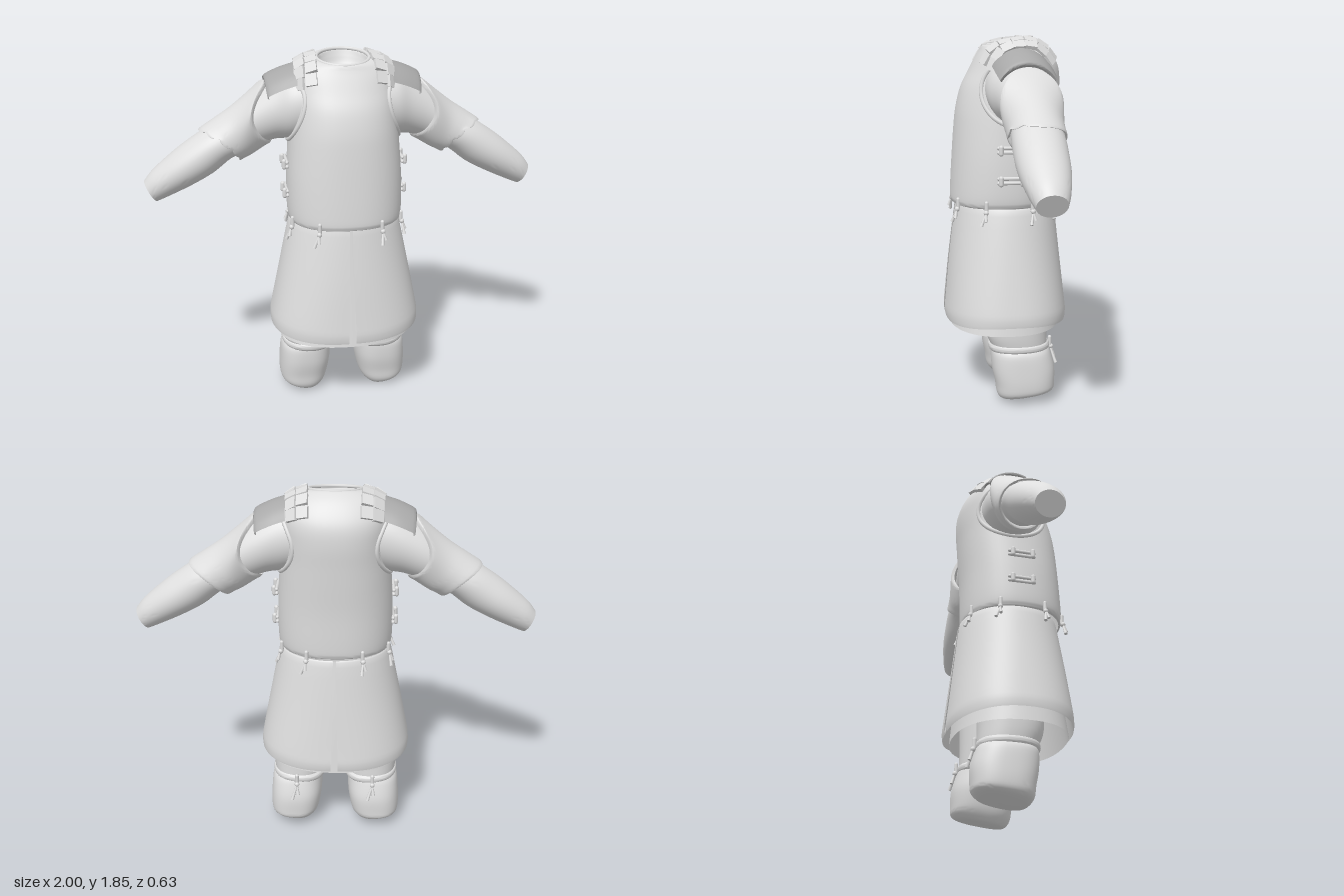
import * as THREE from 'three';
import { toCreasedNormals } from 'three/addons/utils/BufferGeometryUtils.js';

const V = (x, y, z) => new THREE.Vector3(x, y, z);

// Ring = [x1, y1, x2, y2, zCentre, zRadius, squareness, tilt, bow, scallop]:
// a superellipse through two opposite points in the xy plane.
function ringPoint(r, t, side) {
  const [x1, y1, x2, y2, zc, rz, n = 2, tilt = 0, bow = 0, scallop = 0] = r;
  const ux = (x1 - x2) / 2, uy = (y1 - y2) / 2, len = Math.hypot(ux, uy) || 1;
  const pw = v => Math.sign(v) * Math.pow(Math.abs(v), 2 / n);
  const c = pw(Math.cos(t)), s = pw(Math.sin(t));
  // bow pushes front and back along the limb; scallops cut the front edge only
  const wave = scallop * Math.max(0, s) * (Math.abs(Math.sin(t * 5)) - 2);
  const out = side * (bow * s * s + wave);
  return [(x1 + x2) / 2 + ux * c + uy / len * out,
    (y1 + y2) / 2 + uy * c - ux / len * out + tilt * s, zc + rz * s];
}

// Skin a list of rings, smoothing between them with a spline
function loft(rings, { t0 = 0, t1 = Math.PI * 2, segs = 48, sub = 4, cap = false, crease = 0.9 } = {}) {
  const full = rings.map(r => Array.from({ length: 10 }, (_, k) => r[k] ?? (k === 6 ? 2 : 0)));
  const fine = [];
  full.forEach((b, i) => {
    if (i === full.length - 1) return fine.push(b);
    const a = full[i - 1] ?? b, c = full[i + 1], d = full[i + 2] ?? c;
    for (let k = 0; k < sub; k++) {
      const f = k / sub;
      fine.push(b.map((v, j) => v + 0.5 * f * (c[j] - a[j] + f * (2 * a[j] - 5 * v + 4 * c[j] - d[j]
        + f * (3 * (v - c[j]) + d[j] - a[j])))));
    }
  });
  const [p, q] = full;
  const dx = (q[0] + q[2] - p[0] - p[2]), dy = (q[1] + q[3] - p[1] - p[3]);
  const side = (p[1] - p[3]) * dx - (p[0] - p[2]) * dy >= 0 ? 1 : -1;
  const pos = [], idx = [], w = segs + 1;
  for (const r of fine) for (let j = 0; j <= segs; j++) pos.push(...ringPoint(r, t0 + (t1 - t0) * j / segs, side));
  const tri = (a, b, c) => side > 0 ? idx.push(a, b, c) : idx.push(a, c, b);
  for (let i = 0; i < fine.length - 1; i++) for (let j = 0; j < segs; j++) {
    const a = i * w + j, d = a + w;
    tri(a, a + 1, d + 1);
    tri(a, d + 1, d);
  }
  if (cap) {
    const e = fine[fine.length - 1], base = (fine.length - 1) * w, c = pos.length / 3;
    pos.push((e[0] + e[2]) / 2, (e[1] + e[3]) / 2, e[4]);
    for (let j = 0; j < segs; j++) tri(base + j, base + j + 1, c);
  }
  const g = new THREE.BufferGeometry();
  g.setAttribute('position', new THREE.Float32BufferAttribute(pos, 3));
  g.setIndex(idx);
  return toCreasedNormals(g, crease);
}

// Level ring around the body, from half width and front/back depth
const level = (y, rx, zf, zb, n = 2.3, tilt = 0, bow = 0) => [rx, y, -rx, y, (zf + zb) / 2, (zf - zb) / 2, n, tilt, bow];

export function createModel() {
  const model = new THREE.Group();
  const cloth = new THREE.MeshStandardMaterial({ color: 0xdedede, side: THREE.DoubleSide });
  cloth.name = 'light grey';
  const dark = new THREE.MeshStandardMaterial({ color: 0xa8a8a8, side: THREE.DoubleSide });
  dark.name = 'mid grey';
  const add = (name, geo, parent = model, mat = cloth) => {
    const m = new THREE.Mesh(geo, mat);
    m.name = name;
    parent.add(m);
    return m;
  };
  const loop = (pts, r) => new THREE.TubeGeometry(new THREE.CatmullRomCurve3(pts, true), 64, r, 8, true);

  // Breastplate, rolling over the shoulders and down into the neck
  const neck = level(1.822, 0.13, 0.105, -0.14, 2, -0.02);
  const torso = add('breastplate', loft([
    level(1.015, 0.272, 0.262, -0.228), level(1.03, 0.286, 0.276, -0.24), level(1.1, 0.292, 0.275, -0.245),
    level(1.25, 0.29, 0.266, -0.25), level(1.4, 0.28, 0.255, -0.262), level(1.5, 0.272, 0.243, -0.27),
    level(1.6, 0.267, 0.217, -0.278), level(1.68, 0.267, 0.177, -0.274), level(1.74, 0.262, 0.146, -0.252),
    level(1.79, 0.235, 0.125, -0.208, 2.2, -0.012), level(1.818, 0.18, 0.115, -0.165, 2.1, -0.018), neck,
    level(1.79, 0.115, 0.09, -0.125, 2, -0.02), level(1.765, 0.09, 0.065, -0.1, 2), level(1.75, 0.004, -0.015, -0.02, 2),
  ], { crease: 1.2 }));
  const around = Array.from({ length: 32 }, (_, i) => i / 32 * Math.PI * 2);
  add('neckTrim', loop(around.map(t => V(...ringPoint(neck, t, 1))), 0.009));

  // Find where a ray meets the breastplate
  const ray = new THREE.Raycaster();
  const hitTorso = (from, dir) => {
    ray.set(from, dir.clone().normalize());
    const h = ray.intersectObject(torso)[0];
    return h && { point: h.point, normal: h.face.normal.clone() };
  };

  // Knotted cord with two hanging tails, facing outwards
  const tie = (name, pos, yaw, tail) => {
    const g = new THREE.Group();
    g.name = name;
    g.position.copy(pos);
    g.rotation.y = yaw;
    add('cordLoop', new THREE.CapsuleGeometry(0.01, 0.04, 4, 8), g);
    add('knot', new THREE.SphereGeometry(0.013, 10, 8), g).position.set(0, -0.028, 0.006);
    for (const [lean, len] of [[-0.3, tail], [0.12, tail * 0.65]]) {
      const m = add('cordTail', new THREE.CylinderGeometry(0.005, 0.009, len, 8), g);
      m.position.set(lean * len / 2, -0.03 - len / 2, 0.016);
      m.rotation.set(-0.3, 0, lean);
    }
    model.add(g);
  };

  // Underskirt
  add('underskirt', loft([level(1.0, 0.25, 0.22, -0.22, 2), level(0.7, 0.31, 0.254, -0.254, 2.1),
    level(0.385, 0.355, 0.292, -0.28)]));

  for (const s of [-1, 1]) {
    const mir = rings => rings.map(([a, b, c, ...rest]) => [a * s, b, c * s, ...rest]);

    // Skirt panel, split at the front and back, dipping towards the slits
    const panel = [[1.015, 0.276, 0.25, -0.25, 2.05, 0], [0.98, 0.29, 0.257, -0.26, 2.05, 0],
      [0.75, 0.338, 0.287, -0.285, 2.2, 0.005], [0.54, 0.38, 0.309, -0.308, 2.4, 0.018],
      [0.475, 0.391, 0.315, -0.315, 2.4, 0.025], [0.48, 0.378, 0.302, -0.302, 2.4, 0.025],
      [0.98, 0.275, 0.242, -0.245, 2.05, 0]].map(([y, x, f, b, n, bow]) => level(y, x * s, f, b, n, 0, bow));
    add('skirtPanel', loft(panel, { t0: -Math.PI / 2 + 0.025, t1: Math.PI / 2 - 0.025, sub: 3 }));

    // Raised armhole edge
    const hole = around.map(t => hitTorso(V(s, 1.585 + 0.165 * Math.sin(t), -0.035 + 0.175 * Math.cos(t)), V(-s, 0, 0)))
      .filter(Boolean).map(h => h.point);
    add('armholeTrim', loop(hole, 0.011));

    // Arm: shoulder sleeve, upper guard with scalloped hem, forearm
    add('shoulderSleeve', loft(mir([[0.2, 1.76, 0.2, 1.44, -0.035, 0.16], [0.27, 1.75, 0.26, 1.425, -0.04, 0.155],
      [0.34, 1.71, 0.33, 1.42, -0.055, 0.14], [0.45, 1.64, 0.4, 1.4, -0.065, 0.125],
      [0.54, 1.57, 0.47, 1.38, -0.065, 0.115]])));
    add('upperArmGuard', loft(mir([[0.375, 1.69, 0.355, 1.41, -0.065, 0.132, 2, 0, 0.085],
      [0.385, 1.71, 0.365, 1.395, -0.065, 0.146, 2, 0, 0.085], [0.41, 1.695, 0.385, 1.385, -0.065, 0.149, 2, 0, 0.075],
      [0.55, 1.585, 0.45, 1.345, -0.068, 0.138, 2, 0, 0.025], [0.64, 1.525, 0.49, 1.325, -0.068, 0.135],
      [0.715, 1.475, 0.52, 1.308, -0.068, 0.134, 2, 0, -0.015, 0.018],
      [0.705, 1.468, 0.52, 1.325, -0.068, 0.122, 2, 0, -0.015, 0.018]]), { segs: 80 }));
    add('forearm', loft(mir([[0.58, 1.53, 0.45, 1.36, -0.068, 0.11], [0.7, 1.467, 0.55, 1.33, -0.068, 0.122],
      [0.8, 1.402, 0.65, 1.255, -0.066, 0.122], [0.88, 1.34, 0.76, 1.195, -0.066, 0.113],
      [0.96, 1.27, 0.88, 1.14, -0.066, 0.09], [1.0, 1.22, 0.94, 1.115, -0.066, 0.07]]), { cap: true }));

    // Curved plate draped over the shoulder
    add('shoulderPlate', loft(mir([[0.235, 1.795, 0.235, 1.46, -0.05, 0.162], [0.31, 1.772, 0.29, 1.44, -0.057, 0.165],
      [0.385, 1.735, 0.345, 1.42, -0.063, 0.158], [0.38, 1.712, 0.34, 1.43, -0.063, 0.145]]),
    { t0: -1.05, t1: 1.05, segs: 30 }), model, dark);

    // Rows of small scales following the shoulder
    const scales = new THREE.Group();
    scales.name = 'shoulderScales';
    model.add(scales);
    for (const x of [0.158, 0.211]) for (let i = 0; i < 7; i++) {
      const a = 0.72 + i * 0.275;
      const dir = V(0, Math.sin(a), Math.cos(a));
      const h = hitTorso(V((x + 0.015 * Math.cos(a)) * s, 1.6, -0.05).add(dir), dir.clone().negate());
      if (!h) continue;
      const ex = V(1, 0, 0).addScaledVector(h.normal, -h.normal.x).normalize();
      const m = add('scale', new THREE.BoxGeometry(0.056, 0.02, 0.06), scales);
      m.quaternion.setFromRotationMatrix(new THREE.Matrix4().makeBasis(ex, h.normal, ex.clone().cross(h.normal)));
      m.position.copy(h.point).addScaledVector(h.normal, 0.002);
    }

    // Side fastenings: strap with two toggles
    for (const y of [1.16, 1.31]) {
      const g = new THREE.Group();
      g.name = 'sideFastening';
      g.position.set(s * 0.298, y, 0);
      for (const dy of [-0.011, 0.011]) {
        const cord = add('strap', new THREE.CapsuleGeometry(0.009, 0.13, 4, 8), g);
        cord.rotation.x = Math.PI / 2;
        cord.position.set(-s * 0.006, dy, 0);
      }
      for (const z of [-0.05, 0.055]) {
        add('toggle', new THREE.CapsuleGeometry(0.012, 0.03, 4, 8), g).position.set(s * 0.008, 0, z);
      }
      model.add(g);
    }

    // Cords joining the skirt to the breastplate
    for (const [x, z] of [[0.155, 0.25], [0.28, 0.125], [0.28, -0.11], [0.155, -0.25]]) {
      const out = V(x * s, 0, z).normalize();
      const h = hitTorso(V(0, 1.06, 0).add(out), out.clone().negate());
      tie('waistTie', h.point.setY(1.03).addScaledVector(out, 0.004), Math.atan2(out.x, out.z), 0.065);
    }

    // Leg: trouser, band, shin guard and its tie at the back
    add('trouserLeg', loft(mir([[0.33, 0.6, 0.04, 0.6, -0.035, 0.165, 2.3], [0.33, 0.39, 0.05, 0.39, -0.035, 0.16, 2.3],
      [0.322, 0.3, 0.065, 0.3, -0.05, 0.145, 2.3], [0.31, 0.24, 0.08, 0.24, -0.06, 0.13, 2.3]])));
    add('legBand', loft(mir([[0.318, 0.318, 0.065, 0.308, -0.05, 0.146, 2.3], [0.33, 0.308, 0.052, 0.298, -0.05, 0.156, 2.3],
      [0.33, 0.288, 0.052, 0.278, -0.05, 0.156, 2.3], [0.318, 0.274, 0.065, 0.264, -0.05, 0.146, 2.3]])));
    add('shinGuard', loft(mir([[0.318, 0.29, 0.07, 0.29, -0.055, 0.143, 2.4], [0.335, 0.26, 0.07, 0.26, -0.058, 0.152, 2.5],
      [0.343, 0.18, 0.072, 0.18, -0.07, 0.16, 2.6], [0.345, 0.1, 0.085, 0.1, -0.078, 0.152, 2.6],
      [0.335, 0.055, 0.1, 0.055, -0.08, 0.146, 2.5, -0.012], [0.295, 0.033, 0.125, 0.022, -0.08, 0.122, 2.3, -0.016],
      [0.24, 0.022, 0.15, 0.012, -0.08, 0.09, 2.2, -0.014]]), { cap: true }));
    tie('legTie', V(s * 0.2, 0.3, -0.212), Math.PI, 0.085);
  }
  return model;
}
